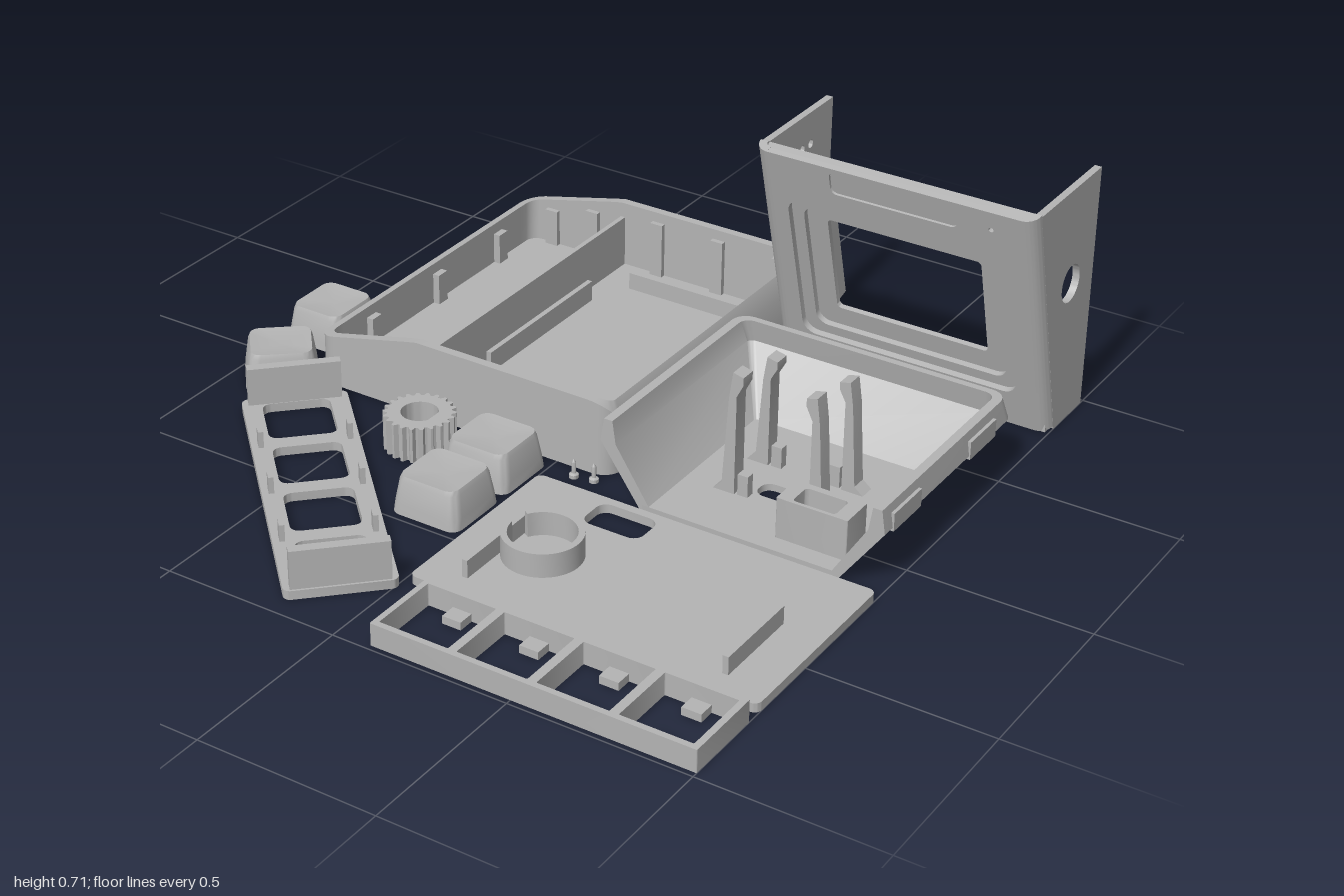
import * as THREE from 'three';
import { toCreasedNormals } from 'three/addons/utils/BufferGeometryUtils.js';

const grey = new THREE.MeshStandardMaterial({ color: 0xb4b4b4, side: THREE.DoubleSide });
grey.name = 'printed grey';

function add(parent, name, geo, x = 0, y = 0, z = 0) {
  const m = new THREE.Mesh(toCreasedNormals(geo, 0.6), grey);
  m.name = name;
  m.position.set(x, y, z);
  parent.add(m);
  return m;
}
function group(parent, name, x = 0, y = 0, z = 0) {
  const g = new THREE.Group();
  g.name = name;
  g.position.set(x, y, z);
  parent.add(g);
  return g;
}
// Box from its x, y and z limits
function block(parent, name, x0, x1, y0, y1, z0, z1) {
  return add(parent, name, new THREE.BoxGeometry(x1 - x0, y1 - y0, z1 - z0),
    (x0 + x1) / 2, (y0 + y1) / 2, (z0 + z1) / 2);
}
// Rounded rectangle outline, each straight side cut in n pieces
function rr(cx, cy, w, d, r, n = 1) {
  const arcs = [[1, 1], [-1, 1], [-1, -1], [1, -1]].map(([sx, sy], k) =>
    Array.from({ length: 7 }, (_, i) => {
      const a = (k + i / 6) * Math.PI / 2;
      return new THREE.Vector2(cx + sx * (w / 2 - r) + r * Math.cos(a), cy + sy * (d / 2 - r) + r * Math.sin(a));
    }));
  const pts = [];
  arcs.forEach((arc, k) => {
    pts.push(...arc);
    for (let i = 1; i < n; i++) pts.push(arc[6].clone().lerp(arcs[(k + 1) % 4][0], i / n));
  });
  return pts;
}
const box2 = (x0, x1, y0, y1, r, n) => rr((x0 + x1) / 2, (y0 + y1) / 2, x1 - x0, y1 - y0, r, n);
const circle = (cx, cy, r) => new THREE.Path().absarc(cx, cy, r, 0, Math.PI * 2).getPoints(24);
function extrude(outline, holes, depth) {
  const s = new THREE.Shape(outline);
  s.holes = holes.map(h => new THREE.Path(h));
  return new THREE.ExtrudeGeometry(s, { depth, bevelEnabled: false });
}
// Plan outline (x, z) raised from y0 to y1
const slab = (outline, holes, y0, y1) =>
  extrude(outline, holes, y1 - y0).rotateX(Math.PI / 2).translate(0, y1, 0);
// Skin over rings of equal point count; open rings get end caps between outer and inner halves
function loft(rings, closed = true) {
  const pos = [], n = rings[0].length;
  const quad = (a, b, c, d) => [a, b, d, b, c, d].forEach(p => pos.push(p.x, p.y, p.z));
  for (let i = 0; i + 1 < rings.length; i++) {
    for (let j = 0; j < (closed ? n : n - 1); j++) {
      const k = (j + 1) % n;
      quad(rings[i][j], rings[i + 1][j], rings[i + 1][k], rings[i][k]);
    }
  }
  const last = rings.length - 1;
  if (!closed) for (let i = 0; i < last / 2 - 0.5; i++) {
    quad(rings[i][0], rings[last - i][0], rings[last - i - 1][0], rings[i + 1][0]);
    quad(rings[i + 1][n - 1], rings[last - i - 1][n - 1], rings[last - i][n - 1], rings[i][n - 1]);
  }
  const g = new THREE.BufferGeometry();
  g.setAttribute('position', new THREE.Float32BufferAttribute(pos, 3));
  g.computeVertexNormals();
  return g;
}
const lift = (pts, h) => pts.map(p => new THREE.Vector3(p.x, typeof h === 'function' ? h(p.x) : h, p.y));

function buildTray(root) {
  const g = group(root, 'mainTray');
  const height = x => x < -0.45 ? 0.135 + (x + 0.78) * 0.24
    : x < 0.1 ? 0.214 : 0.149 + Math.sqrt(Math.max(0, 0.065 ** 2 - (x - 0.1) ** 2));
  const outer = box2(-0.78, 0.165, -0.985, 0.043, 0.055, 30);
  const inner = box2(-0.755, 0.14, -0.96, 0.018, 0.035, 30);
  add(g, 'trayWalls', loft([lift(outer, 0), lift(outer, height), lift(inner, height), lift(inner, 0.02)]));
  add(g, 'trayFloor', slab(outer, [], 0, 0.02));
  block(g, 'trayDivider', -0.448, -0.434, 0.02, 0.17, -0.96, 0.018);
  block(g, 'cableRib', -0.405, -0.39, 0.02, 0.08, -0.72, -0.22);
  for (const z of [-0.845, -0.055]) block(g, 'cardRib', -0.34, 0.06, 0.02, 0.07, z - 0.008, z + 0.008);
  // Snap ribs around the inside of the wall
  for (const x of [-0.68, -0.54, -0.32, -0.12, 0.08]) {
    const top = height(x) - 0.03;
    block(g, 'snapRib', x - 0.02, x + 0.02, 0.02, top, -0.962, -0.945);
    block(g, 'snapRib', x - 0.02, x + 0.02, 0.02, top, 0.003, 0.02);
  }
  for (const z of [-0.78, -0.48, -0.17]) block(g, 'snapRib', -0.757, -0.735, 0.02, 0.11, z - 0.02, z + 0.02);
  for (const z of [-0.9, -0.68, -0.47, -0.26, -0.06]) block(g, 'snapRib', 0.122, 0.142, 0.02, 0.16, z - 0.02, z + 0.02);
}

function buildBezel(root) {
  const g = group(root, 'screenBezel');
  const tilt = Math.atan(0.19 / 0.7);
  // Side walls: drawn in (-z, y), extruded along x
  const wall = [[0.985, 0], [0.82, 0], [0.635, 0.7], [0.985, 0.7]].map(p => new THREE.Vector2(...p));
  const vents = [];
  for (let i = 0; i < 5; i++) vents.push(box2(0.81, 0.92, 0.2 + i * 0.04, 0.218 + i * 0.04, 0.008));
  for (let i = 0; i < 6; i++) vents.push(circle(0.78 + (i % 3) * 0.045, 0.56 + Math.floor(i / 3) * 0.045, 0.012));
  for (const [name, holes, x] of [['ventWall', vents, 0.19], ['dialWall', [circle(0.85, 0.42, 0.053)], 0.98]])
    add(g, name, extrude(wall, holes, 0.02).rotateY(Math.PI / 2), x);
  block(g, 'bezelFloor', 0.2, 0.99, 0, 0.022, -0.985, -0.79);
  block(g, 'floorClip', 0.51, 0.68, 0.02, 0.035, -0.948, -0.935);

  // Leaning front with a stepped window
  const f = group(g, 'leaningFront', 0.595, 0, -0.785);
  f.rotation.x = tilt;
  const top = 0.72, panel = box2(-0.183, 0.183, 0.636, 0.708, 0.018);
  add(f, 'frontPlate', extrude(box2(-0.365, 0.365, 0, top, 0.0005),
    [box2(-0.32, 0.32, 0.11, 0.576, 0.04), panel, circle(0.28, 0.663, 0.007)], 0.018), 0, 0, -0.018);
  add(f, 'stepPlate', extrude(box2(-0.38, 0.38, 0.01, top - 0.006, 0.0005),
    [box2(-0.285, 0.285, 0.14, 0.55, 0.035)], 0.017), 0, 0, -0.035);
  add(f, 'windowPlate', extrude(box2(-0.385, 0.385, 0.015, top - 0.01, 0.0005),
    [box2(-0.225, 0.225, 0.2, 0.508, 0.012)], 0.015), 0, 0, -0.05);
  add(f, 'labelPanel', extrude(panel, [], 0.012), 0, 0, -0.019);
  // Rounded corners between front and sides
  for (const s of [-1, 1]) {
    const arc = new THREE.Shape();
    arc.absarc(0, 0, 0.04, 0, Math.PI / 2).lineTo(0, 0.018);
    arc.absarc(0, 0, 0.018, Math.PI / 2, 0, true);
    const c = new THREE.ExtrudeGeometry(arc, { depth: top, bevelEnabled: false, curveSegments: 8 });
    c.rotateX(Math.PI / 2).translate(0, top, 0);
    if (s < 0) c.rotateY(-Math.PI / 2);
    add(f, 'frontCorner', c, s * 0.365, 0, -0.04);
    block(f, 'screenGuide', s * 0.263 - 0.008, s * 0.263 + 0.008, 0.17, 0.56, -0.13, -0.05);
  }
  for (const y of [0.13, 0.56]) block(f, 'screenLedge', -0.27, 0.27, y - 0.008, y + 0.008, -0.08, -0.05);
}

function buildBase(root) {
  const g = group(root, 'electronicsBase');
  // U-shaped section, open towards the front
  const u = (x0, x1, z0, r, y) => [[x0 + r, 2], [x1 - r, 3]].reduce((p, [cx, q]) => {
    for (let i = 0; i < 7; i++) {
      const a = (q + i / 6) * Math.PI / 2;
      p.push(new THREE.Vector3(cx + r * Math.cos(a), y, z0 + r + r * Math.sin(a)));
    }
    return p;
  }, [new THREE.Vector3(x0, y, 0.13)]).concat(new THREE.Vector3(x1, y, 0.13));
  add(g, 'flaredWalls', loft([u(0.312, 0.878, -0.42, 0.015, 0), u(0.19, 1, -0.562, 0.045, 0.17),
    u(0.2, 0.99, -0.54, 0.045, 0.235), u(0.225, 0.965, -0.52, 0.03, 0.235),
    u(0.235, 0.955, -0.532, 0.02, 0.17), u(0.335, 0.862, -0.4, 0.01, 0.02)], false));
  add(g, 'baseFloor', slab(box2(0.314, 0.876, -0.418, 0.13, 0.002),
    [box2(0.52, 0.665, -0.14, -0.075, 0.028), box2(0.72, 0.82, 0, 0.06, 0.02)], 0, 0.02));
  add(g, 'socketHousing', slab(box2(0.67, 0.87, -0.025, 0.075, 0.003),
    [box2(0.71, 0.83, -0.005, 0.065, 0.01)], 0.02, 0.135));
  // Hooked posts that hold the circuit board
  const hook = [[-0.17, 0.02], [-0.145, 0.12], [-0.13, 0.8], [-0.12, 1], [-0.09, 0.98], [-0.09, 0.92], [-0.108, 0.82], [-0.108, 0.02]];
  for (const [z, h] of [[-0.065, 0.37], [-0.235, 0.335]]) for (const s of [1, -1]) {
    const pts = hook.map(([x, y]) => new THREE.Vector2(s * x, y > 0.1 ? y * h : y));
    add(g, 'boardPost', extrude(pts, [], 0.045), 0.59, 0, z - 0.022);
    block(g, 'boardRest', 0.59 - s * 0.085 - 0.015, 0.59 - s * 0.085 + 0.015, 0.02, 0.08, z - 0.005, z + 0.02);
  }
  for (const x of [0.192, 0.998]) for (const z of [-0.38, 0.02])
    block(g, 'sideClip', x - 0.005, x + 0.005, 0.16, 0.21, z - 0.07, z + 0.07);
  block(g, 'backClip', 0.51, 0.68, 0.16, 0.21, -0.566, -0.55);
}

function buildCover(root) {
  const g = group(root, 'coverPlate');
  add(g, 'plate', slab(box2(0.02, 1, 0.155, 0.72, 0.02), [box2(0.23, 0.4, 0.18, 0.285, 0.03)], 0, 0.025));
  const ring = new THREE.Shape();
  ring.absarc(0, 0, 0.105, -2.6, 3.1).absarc(0, 0, 0.088, 3.1, -2.6, true);
  add(g, 'speakerRing', slab(ring.getPoints(24), [], 0.025, 0.092), 0.24, 0, 0.465);
  for (const x of [0.14, 0.875]) block(g, 'plateRib', x - 0.008, x + 0.008, 0.025, 0.075, 0.4, 0.655);
}

function buildKeyParts(root) {
  // Four-cell key holder
  const holder = group(root, 'keyHolder'), cells = [0.215, 0.437, 0.66, 0.883];
  add(holder, 'holderFrame', slab(box2(0.1, 1, 0.755, 0.985, 0.003),
    cells.map(x => box2(x - 0.099, x + 0.099, 0.772, 0.968, 0.003)), 0, 0.063));
  for (const x of cells) for (const z of [0.793, 0.947])
    block(holder, 'cellTab', x - 0.027, x + 0.027, 0, 0.022, z - 0.024, z + 0.024);

  // Diagonal key bezel
  const rail = group(root, 'keyBezel', -0.42, 0, 0.515);
  rail.rotation.y = -Math.PI / 4;
  add(rail, 'railPlate', slab(box2(-0.472, 0.472, -0.142, 0.142, 0.02),
    [-1.5, -0.5, 0.5, 1.5].map(i => rr(i * 0.23, 0, 0.182, 0.182, 0.025)), 0, 0.025));
  for (const s of [-1, 1]) {
    block(rail, 'endBar', s * 0.452 - 0.014, s * 0.452 + 0.014, 0.02, 0.133, -0.125, 0.125);
    for (const i of [-1, 0, 1])
      block(rail, 'railPeg', i * 0.23 - 0.017, i * 0.23 + 0.017, 0.02, 0.072, s * 0.117 - 0.007, s * 0.117 + 0.007);
  }

  // Keycaps with dished tops
  for (const [x, z, turn] of [[-0.905, -0.19, 0], [-0.878, 0.075, -0.87], [-0.115, 0.165, 0], [-0.115, 0.38, 0]]) {
    const w = x < -0.5 ? 0.185 : 0.205;
    const ring = (k, y, r) => lift(rr(0, 0, w * k, 0.2 * k, r), y);
    const cap = add(root, 'keycap', loft([ring(0.001, 0, 0), ring(1, 0, 0.03), ring(0.97, 0.03, 0.03),
      ring(0.88, 0.092, 0.03), ring(0.83, 0.105, 0.028), ring(0.001, 0.095, 0)]), x, 0, z);
    cap.rotation.y = turn;
  }

  // Ridged knob with a D-shaped socket
  const knob = group(root, 'knob', -0.345, 0, 0.17);
  const ridges = Array.from({ length: 88 }, (_, i) => {
    const a = i / 88 * Math.PI * 2, r = i % 4 < 2 ? 0.097 : 0.085;
    return new THREE.Vector2(r * Math.cos(a), r * Math.sin(a));
  });
  const socket = new THREE.Shape().absarc(0, 0, 0.05, 0.5, Math.PI * 2 - 0.5).getPoints(20);
  add(knob, 'knobGrip', slab(ridges, [socket], 0, 0.1));
  add(knob, 'knobFloor', new THREE.CylinderGeometry(0.06, 0.06, 0.04, 24), 0, 0.021, 0);

  // Two small screws, heads down
  for (const [x, z] of [[0.08, 0.085], [0.135, 0.075]]) {
    const profile = [[0, 0], [0.013, 0], [0.013, 0.01], [0.006, 0.014], [0.006, 0.045], [0, 0.055]];
    add(root, 'screw', new THREE.LatheGeometry(profile.map(p => new THREE.Vector2(...p)), 12), x, 0, z);
  }
}

export function createModel() {
  const root = new THREE.Group();
  root.name = 'enclosureKit';
  for (const build of [buildTray, buildBezel, buildBase, buildCover, buildKeyParts]) build(root);
  return root;
}
